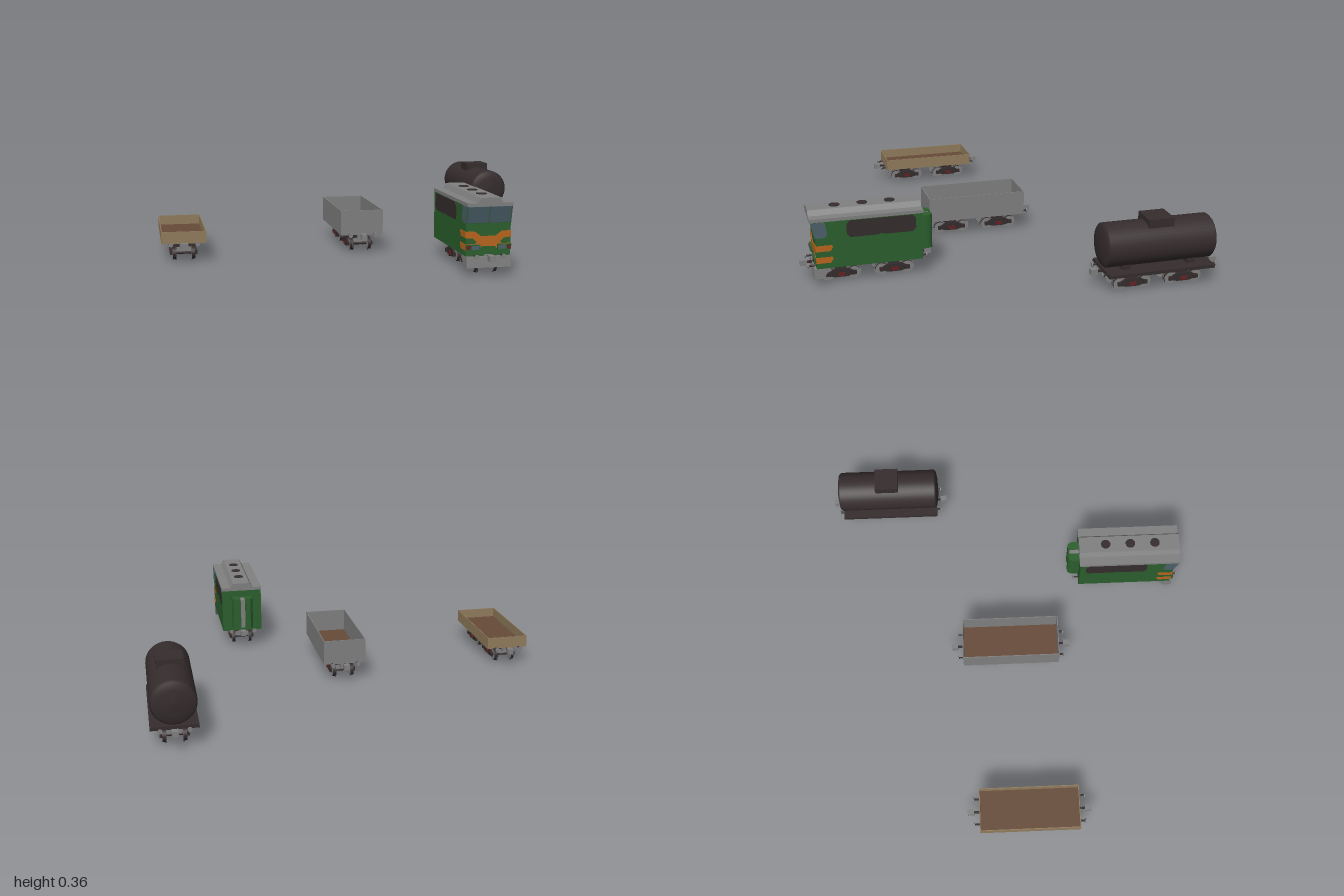
import * as THREE from 'three';

const mat = (name, color, side = THREE.FrontSide) => {
  const m = new THREE.MeshStandardMaterial({ color, side });
  m.name = name;
  return m;
};

export function createModel() {
  const green = mat('green paint', 0x2b5f2d), grey = mat('grey metal', 0x808080);
  const dark = mat('dark metal', 0x352c2d), brown = mat('brown floor', 0x664a38);
  const tan = mat('tan boards', 0x917c5c), orange = mat('orange paint', 0xb8651c);
  const glass = mat('window glass', 0x4c606a), red = mat('red paint', 0x6a2022);

  const add = (parent, name, geo, material, x = 0, y = 0, z = 0) => {
    const m = new THREE.Mesh(geo, material);
    m.name = name;
    m.position.set(x, y, z);
    parent.add(m);
    return m;
  };
  const box = (parent, name, material, w, h, d, x, y, z) =>
    add(parent, name, new THREE.BoxGeometry(w, h, d), material, x, y, z);
  const shapeOf = pts => new THREE.Shape(pts.map(p => new THREE.Vector2(p[0], p[1])));
  // Outline given as (z, y), extruded across x and centred
  const across = (pts, width) => new THREE.ExtrudeGeometry(shapeOf(pts), { depth: width, bevelEnabled: false })
    .rotateY(-Math.PI / 2).translate(width / 2, 0, 0);
  // Outline given as (x, y), extruded along z
  const along = (pts, depth) => new THREE.ExtrudeGeometry(shapeOf(pts), { depth, bevelEnabled: false })
    .translate(0, 0, -depth / 2);
  const group = (parent, name, x = 0, y = 0, z = 0) => {
    const g = new THREE.Group();
    g.name = name;
    g.position.set(x, y, z);
    parent.add(g);
    return g;
  };

  // Four-wheel bogie
  function bogie(parent, z) {
    const g = group(parent, 'bogie', 0, 0, z);
    for (const dz of [-0.062, 0.062]) {
      add(g, 'axle', new THREE.CylinderGeometry(0.006, 0.006, 0.13, 8).rotateZ(Math.PI / 2), dark, 0, 0.035, dz);
      box(g, 'endBeam', grey, 0.07, 0.02, 0.008, 0, 0.055, dz * 1.2);
      for (const s of [-1, 1]) {
        add(g, 'wheel', new THREE.CylinderGeometry(0.03, 0.03, 0.014, 20).rotateZ(Math.PI / 2),
          [dark, grey, grey], s * 0.047, 0.034, dz);
        add(g, 'flange', new THREE.CylinderGeometry(0.034, 0.034, 0.004, 20).rotateZ(Math.PI / 2),
          [dark, grey, grey], s * 0.039, 0.034, dz);
        box(g, 'axleBox', dark, 0.012, 0.018, 0.02, s * 0.06, 0.036, dz);
      }
    }
    for (const s of [-1, 1]) {
      add(g, 'sideFrame', across([[-0.066, 0.03], [-0.03, 0.02], [0.03, 0.02], [0.066, 0.03], [0.066, 0.042],
        [0.032, 0.06], [-0.032, 0.06], [-0.066, 0.042]], 0.008), dark, s * 0.058);
      box(g, 'springPack', red, 0.006, 0.016, 0.032, s * 0.063, 0.034, 0);
    }
    box(g, 'bolster', dark, 0.11, 0.045, 0.05, 0, 0.07, 0);
  }

  // Bogies, couplers and buffers shared by every vehicle
  function runningGear(parent) {
    const g = group(parent, 'runningGear');
    for (const s of [-1, 1]) {
      bogie(g, s * 0.127);
      box(g, 'couplerBar', dark, 0.01, 0.01, 0.07, 0, 0.087, s * 0.26);
      box(g, 'couplerHead', grey, 0.028, 0.027, 0.032, 0, 0.087, s * 0.297);
      box(g, 'couplerPocket', grey, 0.04, 0.03, 0.03, 0, 0.082, s * 0.235);
      for (const x of [-0.064, 0.064]) {
        add(g, 'bufferStem', new THREE.CylinderGeometry(0.005, 0.005, 0.04, 8).rotateX(Math.PI / 2), dark, x, 0.092, s * 0.26);
        add(g, 'bufferHead', new THREE.CylinderGeometry(0.011, 0.011, 0.005, 14).rotateX(Math.PI / 2), grey, x, 0.092, s * 0.281);
      }
    }
  }

  // Open wagon with thin walls and a boarded floor
  function openWagon(parent, name, material, top, x, z) {
    const g = group(parent, name, x, 0, z), h = top - 0.09, y = 0.09 + h / 2;
    runningGear(g);
    box(g, 'underside', material, 0.215, 0.008, 0.505, 0, 0.094, 0);
    box(g, 'floor', brown, 0.207, 0.004, 0.497, 0, 0.1, 0);
    for (const s of [-1, 1]) {
      box(g, 'sideWall', material, 0.004, h, 0.505, s * 0.1055, y, 0);
      box(g, 'endWall', material, 0.207, h, 0.004, 0, y, s * 0.2505);
    }
  }

  // Tank wagon
  function tankWagon(parent, x, z) {
    const g = group(parent, 'tankWagon', x, 0, z);
    runningGear(g);
    box(g, 'platform', dark, 0.215, 0.016, 0.52, 0, 0.097, 0);
    const profile = [[0, -0.275], [0.06, -0.271], [0.095, -0.264], [0.104, -0.255],
      [0.104, 0.255], [0.095, 0.264], [0.06, 0.271], [0, 0.275]].map(p => new THREE.Vector2(...p));
    add(g, 'tank', new THREE.LatheGeometry(profile, 40).rotateX(Math.PI / 2), dark, 0, 0.214, 0);
    box(g, 'hatch', dark, 0.124, 0.06, 0.124, 0, 0.309, 0);
    for (const s of [-1, 1]) box(g, 'saddle', dark, 0.12, 0.03, 0.04, 0, 0.115, s * 0.16);
  }

  // Diesel locomotive
  function locomotive(parent, x, z) {
    const g = group(parent, 'locomotive', x, 0, z);
    runningGear(g);
    add(g, 'body', across([[-0.255, 0.09], [0.245, 0.09], [0.245, 0.24], [0.265, 0.322], [-0.255, 0.322]], 0.213), green);

    // Roof with raised centre and three fans
    box(g, 'roof', grey, 0.216, 0.016, 0.53, 0, 0.328, 0.005);
    add(g, 'raisedRoof', along([[-0.062, 0.334], [0.062, 0.334], [0.045, 0.36], [-0.045, 0.36]], 0.53), grey, 0, 0, 0.005);
    for (const fz of [-0.12, 0.01, 0.14])
      add(g, 'roofFan', new THREE.CylinderGeometry(0.025, 0.025, 0.004, 20), dark, 0, 0.361, fz);

    // Sloping windscreen in two panes
    for (const s of [-1, 1]) {
      const pane = box(g, 'windscreen', glass, 0.1, 0.078, 0.004, s * 0.052, 0.281, 0.2555);
      pane.rotation.x = Math.atan2(0.02, 0.082);
    }

    // Side windows, grille panels and stripes
    const sideWindow = [[0.262, 0.318], [0.2, 0.318], [0.19, 0.26], [0.204, 0.242], [0.245, 0.242]];
    const sidePanel = [[0.1, 0.255], [0.1, 0.3], [0.085, 0.317], [-0.21, 0.317], [-0.225, 0.3],
      [-0.225, 0.252], [-0.21, 0.235], [-0.075, 0.235], [-0.06, 0.242], [-0.045, 0.235], [0.085, 0.235]];
    for (const s of [-1, 1]) {
      add(g, 'sideWindow', across(sideWindow, 0.003), glass, s * 0.107);
      add(g, 'sidePanel', across(sidePanel, 0.003), dark, s * 0.107);
      for (const y of [0.19, 0.132])
        add(g, 'sideStripe', across([[0.246, y - 0.015], [0.246, y + 0.014], [0.172, y + 0.014],
          [0.165, y + 0.006], [0.178, y - 0.015]], 0.003), orange, s * 0.107);
    }

    // Orange nose emblem band, lights and snowplough
    add(g, 'noseBand', along([[-0.107, 0.175], [-0.075, 0.172], [-0.055, 0.155], [-0.065, 0.146], [-0.107, 0.146],
      [-0.107, 0.117], [-0.05, 0.117], [-0.03, 0.135], [0.03, 0.135], [0.05, 0.117], [0.107, 0.117],
      [0.107, 0.146], [0.065, 0.146], [0.055, 0.155], [0.075, 0.172], [0.107, 0.175],
      [0.107, 0.204], [0.065, 0.204], [0.035, 0.182], [-0.035, 0.182], [-0.065, 0.204], [-0.107, 0.204]], 0.003), orange, 0, 0, 0.246);
    for (const s of [-1, 1]) {
      box(g, 'headlightCase', green, 0.066, 0.026, 0.012, s * 0.074, 0.131, 0.25);
      box(g, 'headlight', glass, 0.036, 0.018, 0.003, s * 0.064, 0.131, 0.257);
      box(g, 'tailLight', red, 0.016, 0.018, 0.003, s * 0.095, 0.131, 0.257);
    }
    add(g, 'snowplough', across([[0.18, 0.09], [0.195, 0.07], [0.215, 0.04], [0.26, 0.038], [0.256, 0.09]], 0.213), grey);

    // Rear gangway: two rounded posts with a narrow gap, and a door behind
    for (const s of [-1, 1])
      add(g, 'gangwayPost', new THREE.ExtrudeGeometry(shapeOf([[s * 0.012, 0.25], [s * 0.055, 0.25], [s * 0.055, 0.29],
        [s * 0.05, 0.305], [s * 0.04, 0.315], [s * 0.012, 0.315]]), { depth: 0.168, bevelEnabled: false })
        .rotateX(-Math.PI / 2).translate(0, 0.118, 0), green);
    box(g, 'gangwayDoor', grey, 0.024, 0.16, 0.05, 0, 0.2, -0.282);
  }

  const root = new THREE.Group();
  root.name = 'trainSet';
  openWagon(root, 'lowWagon', tan, 0.15, -0.892, 0.06);
  openWagon(root, 'highWagon', grey, 0.215, 0, 0);
  locomotive(root, 0.445, 0.64);
  tankWagon(root, 0.891, -0.64);
  return root;
}
